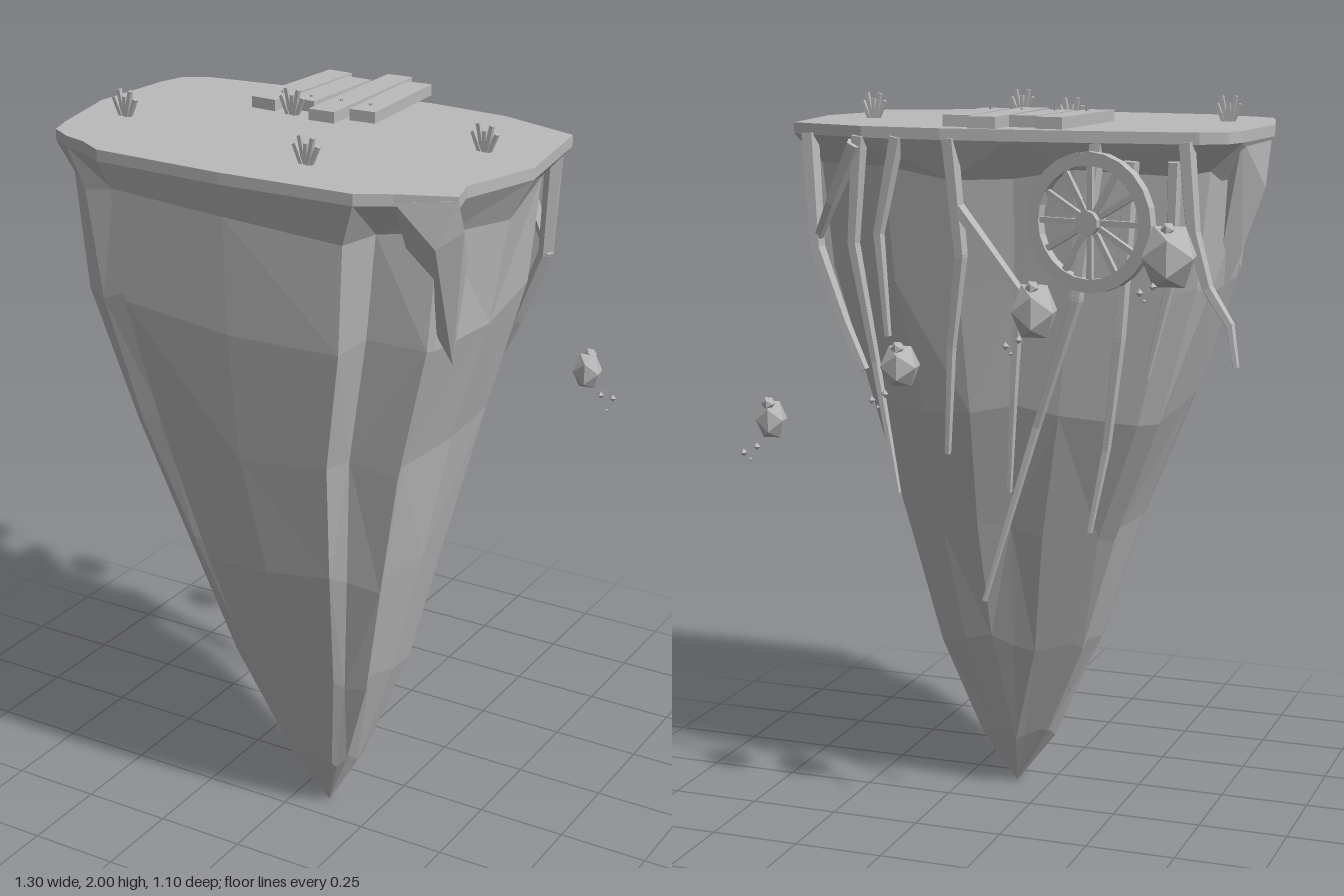
import * as THREE from 'three';
import { ConvexGeometry } from 'three/addons/geometries/ConvexGeometry.js';

const stone = new THREE.MeshStandardMaterial({ color: 0xbababa, flatShading: true });
stone.name = 'grey';

function add(parent, geometry, name, x = 0, y = 0, z = 0) {
  const mesh = new THREE.Mesh(geometry, stone);
  mesh.name = name;
  mesh.position.set(x, y, z);
  parent.add(mesh);
  return mesh;
}

// Plateau outline: x, z, groove depth on the cliff below
const outline = [
  [-0.60, -0.20, 0], [-0.62, -0.13, 0.02], [-0.64, 0.125, 0], [-0.59, 0.35, 0.02], [-0.565, 0.425, 0],
  [-0.50, 0.465, 0], [-0.435, 0.485, 0.06], [-0.36, 0.53, 0], [0.01, 0.547, 0], [0.38, 0.537, 0],
  [0.463, 0.49, 0.07], [0.605, 0.432, -0.01], [0.58, 0.345, 0], [0.648, 0.122, 0], [0.60, -0.20, 0],
  [0.37, -0.28, 0.03], [0.14, -0.30, 0], [-0.04, -0.29, 0.04], [-0.22, -0.275, 0], [-0.535, -0.24, 0.02],
];

// Cliff levels: y, x min, x max, z min, z max, groove strength; undercut below the rim
const levels = [
  [1.93, -0.64, 0.648, -0.30, 0.547, 0], [1.90, -0.64, 0.648, -0.30, 0.547, 0],
  [1.81, -0.585, 0.585, -0.26, 0.525, 0.8], [1.52, -0.545, 0.555, -0.23, 0.52, 1],
  [1.17, -0.425, 0.45, -0.185, 0.475, 1], [0.82, -0.275, 0.378, -0.09, 0.415, 1],
  [0.47, -0.16, 0.297, 0, 0.325, 0.8], [0.17, -0.02, 0.19, 0.095, 0.237, 0.5],
  [0, 0.1, 0.1, 0.17, 0.17, 0],
];

function cliffGeometry() {
  const n = outline.length, pos = [], index = [];
  levels.forEach(([y, x0, x1, z0, z1, g], k) => {
    outline.forEach(([x, z, depth], i) => {
      const wobble = g ? 0.012 * Math.sin(i * 2.3 + k * 1.9) : 0;
      const f = 1 - depth * g + wobble;
      pos.push((x0 + x1) / 2 + (x - 0.004) / 0.644 * f * (x1 - x0) / 2,
        y + (g ? 0.02 * Math.sin(i * 1.7 + k) : 0),
        (z0 + z1) / 2 + (z - 0.1235) / 0.4235 * f * (z1 - z0) / 2);
    });
  });
  for (let k = 0; k < levels.length - 1; k++) {
    for (let i = 0; i < n; i++) {
      const j = (i + 1) % n;
      const a = k * n + i, b = k * n + j, c = b + n, d = a + n;
      if ((i + k) % 2) index.push(d, c, b, d, b, a);
      else index.push(d, c, a, c, b, a);
    }
  }
  // flat top
  const centre = pos.length / 3;
  pos.push(0, 1.93, 0.12);
  for (let i = 0; i < n; i++) index.push(centre, i, (i + 1) % n);
  const geo = new THREE.BufferGeometry();
  geo.setAttribute('position', new THREE.Float32BufferAttribute(pos, 3));
  geo.setIndex(index);
  const flat = geo.toNonIndexed();
  flat.computeVertexNormals();
  return flat;
}

// Tapering root made of straight segments through the points
function root(parent, points, r0, r1) {
  const group = new THREE.Group();
  group.name = 'hangingRoot';
  const v = points.map(p => new THREE.Vector3(...p));
  const radius = t => r0 + (r1 - r0) * t / (v.length - 1);
  for (let i = 0; i < v.length - 1; i++) {
    const dir = v[i].clone().sub(v[i + 1]);
    const geo = new THREE.CylinderGeometry(radius(i), radius(i + 1), dir.length() + 0.01, 5);
    const mid = v[i].clone().add(v[i + 1]).multiplyScalar(0.5);
    const seg = add(group, geo, 'rootSegment', mid.x, mid.y, mid.z);
    seg.quaternion.setFromUnitVectors(new THREE.Vector3(0, 1, 0), dir.normalize());
  }
  parent.add(group);
}

function wheel() {
  const group = new THREE.Group();
  group.name = 'wagonWheel';
  const ring = new THREE.Shape().absarc(0, 0, 0.18, 0, Math.PI * 2);
  ring.holes.push(new THREE.Path().absarc(0, 0, 0.145, 0, Math.PI * 2, true));
  const rim = new THREE.ExtrudeGeometry(ring, { depth: 0.03, bevelEnabled: false, curveSegments: 12 });
  add(group, rim.translate(0, 0, -0.015), 'wheelRim');
  add(group, new THREE.CylinderGeometry(0.032, 0.032, 0.05, 10).rotateX(Math.PI / 2), 'wheelHub');
  for (let i = 0; i < 12; i++) {
    const spoke = new THREE.BoxGeometry(0.015, 0.13, 0.014).translate(0, 0.087, 0);
    add(group, spoke, 'wheelSpoke').rotation.z = i * Math.PI / 6;
  }
  group.position.set(-0.262, 1.7, -0.277);
  group.rotation.y = -0.18;
  return group;
}

export function createModel() {
  const model = new THREE.Group();
  model.name = 'floatingCliff';
  add(model, cliffGeometry(), 'cliff');

  // Overhanging flakes under the rim: front corner and side
  const flakes = {
    cornerFlake: [[0.606, 1.92, 0.435], [0.463, 1.91, 0.49], [0.61, 1.84, 0.41], [0.56, 1.8, 0.46],
      [0.5, 1.9, 0.33], [0.595, 1.75, 0.36], [0.535, 1.46, 0.31], [0.48, 1.6, 0.36]],
    sideFlake: [[-0.615, 1.91, -0.12], [-0.636, 1.91, 0.12], [-0.6, 1.91, 0.25], [-0.63, 1.77, 0.08],
      [-0.575, 1.6, 0.06], [-0.48, 1.36, 0.06], [-0.45, 1.85, 0.06]],
  };
  for (const [name, points] of Object.entries(flakes)) {
    add(model, new ConvexGeometry(points.map(p => new THREE.Vector3(...p))), name);
  }

  // Planks with a nail: x, z start, z end, turn
  for (const [x, z0, z1, turn] of [[-0.185, -0.35, 0.01, -0.068], [-0.097, -0.31, -0.03, -0.038],
    [-0.005, -0.39, 0.042, 0.018], [0.083, -0.345, -0.01, 0.048]]) {
    const plank = add(model, new THREE.BoxGeometry(0.075, 0.03, z1 - z0), 'plank', x, 1.953, (z0 + z1) / 2);
    plank.rotation.y = turn;
    add(model, new THREE.CylinderGeometry(0.005, 0.005, 0.006, 6), 'nail', x, 1.97, -0.07);
  }

  // Grass tufts
  for (const [x, z] of [[-0.12, -0.01], [0.477, 0.053], [-0.488, 0.226], [0.157, 0.376]]) {
    const tuft = new THREE.Group();
    tuft.name = 'grassTuft';
    for (let i = -2; i <= 2; i++) {
      const height = i % 2 ? 0.073 : 0.055;
      const blade = new THREE.BoxGeometry(0.01, height, 0.012).translate(0, height / 2, 0);
      add(tuft, blade, 'grassBlade', i * 0.006, 0, (i % 2) * 0.003).rotation.z = -i * 0.2;
    }
    tuft.position.set(x, 1.927, z);
    model.add(tuft);
  }

  // Floating rocks with their debris: x, y, z, radius, height radius
  for (const [x, y, z, r, h] of [[-0.526, 1.645, -0.468, 0.064, 0.08], [-0.167, 1.49, -0.437, 0.054, 0.072],
    [0.188, 1.335, -0.465, 0.047, 0.056], [0.543, 1.178, -0.495, 0.037, 0.052]]) {
    const group = new THREE.Group();
    group.name = 'floatingRock';
    add(group, new THREE.IcosahedronGeometry(1, 0).scale(r * 1.17, h * 1.1, r * 1.05), 'rock').rotation.y = 0.15;
    add(group, new THREE.IcosahedronGeometry(0.019, 0), 'pebble', 0, h * 0.85, -0.015);
    add(group, new THREE.OctahedronGeometry(0.011), 'chip', 0.061, -0.085, -0.045);
    add(group, new THREE.OctahedronGeometry(0.011), 'chip', 0.035, -0.072, -0.02);
    add(group, new THREE.OctahedronGeometry(0.006), 'chip', 0.06, -0.11, -0.01);
    group.position.set(x, y, z);
    model.add(group);
  }

  // Roots hanging from the back
  root(model, [[0.38, 1.9, -0.27], [0.41, 1.62, -0.25], [0.36, 1.3, -0.23], [0.29, 0.95, -0.25]], 0.023, 0.008);
  root(model, [[0.55, 1.9, -0.21], [0.53, 1.6, -0.22], [0.45, 1.4, -0.23], [0.39, 1.28, -0.24]], 0.025, 0.014);
  root(model, [[0.39, 1.88, -0.28], [0.47, 1.73, -0.25], [0.54, 1.6, -0.215]], 0.024, 0.012);
  root(model, [[0.27, 1.9, -0.28], [0.33, 1.65, -0.265], [0.31, 1.38, -0.26]], 0.022, 0.01);
  root(model, [[0.12, 1.9, -0.285], [0.1, 1.6, -0.26], [0.14, 1.35, -0.23], [0.16, 1.06, -0.21]], 0.024, 0.009);
  root(model, [[0.1, 1.72, -0.27], [-0.06, 1.51, -0.255], [-0.04, 1.25, -0.24], [-0.02, 0.97, -0.22]], 0.02, 0.008);
  root(model, [[-0.27, 1.9, -0.25], [-0.22, 1.5, -0.26], [-0.1, 1.15, -0.23], [0.04, 0.67, -0.25]], 0.024, 0.007);
  root(model, [[-0.36, 1.85, -0.25], [-0.33, 1.4, -0.24], [-0.29, 1.1, -0.22], [-0.25, 0.88, -0.23]], 0.022, 0.008);
  root(model, [[-0.5, 1.9, -0.235], [-0.52, 1.68, -0.235], [-0.56, 1.54, -0.235], [-0.625, 1.45, -0.25],
    [-0.645, 1.35, -0.262]], 0.024, 0.009);
  root(model, [[-0.47, 1.85, -0.235], [-0.46, 1.55, -0.22], [-0.4, 1.3, -0.22]], 0.02, 0.008);

  model.add(wheel());
  return model;
}
